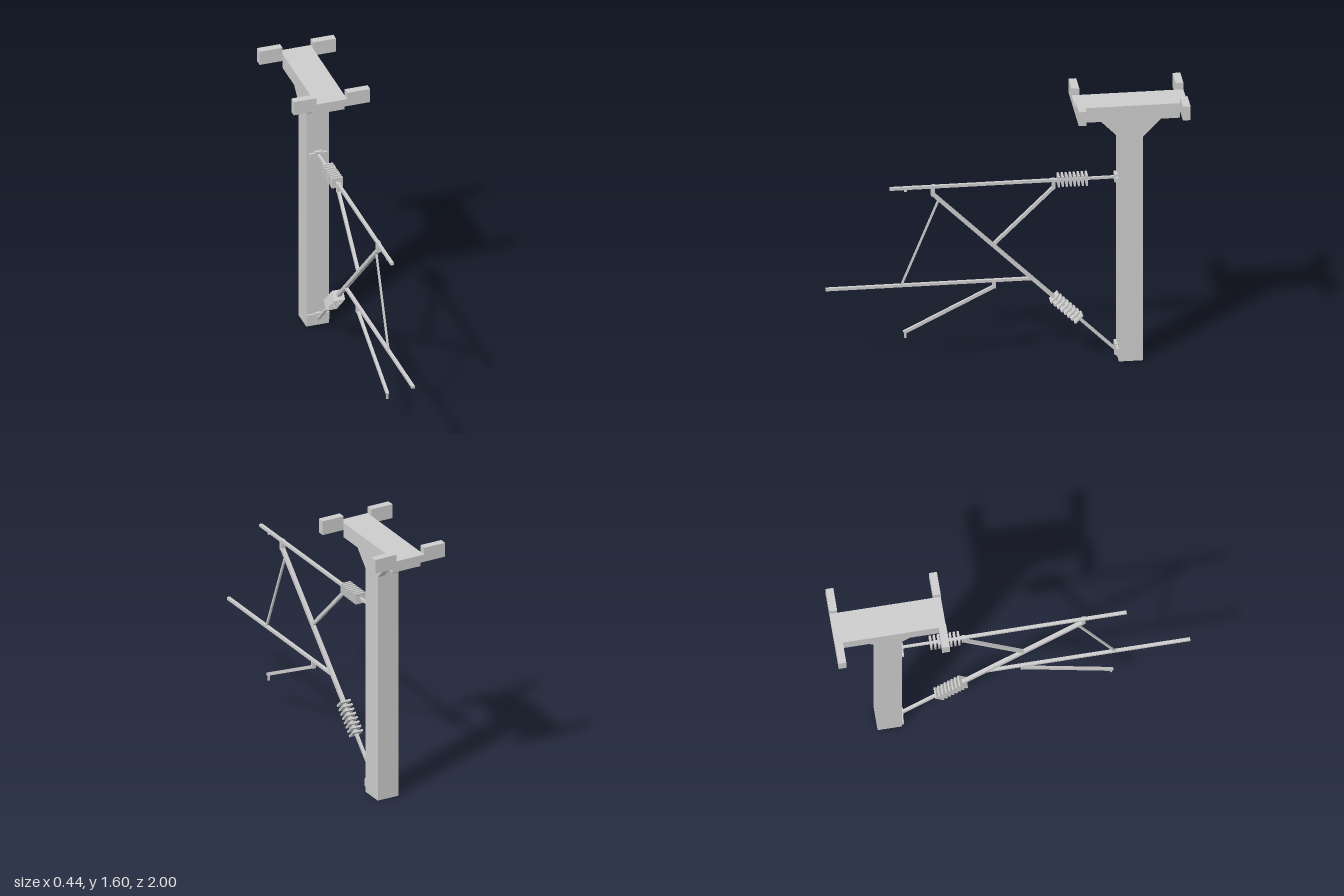
import * as THREE from 'three';

const material = new THREE.MeshStandardMaterial({ color: 0xcccccc, flatShading: true });

export function createModel() {
  const model = new THREE.Group();
  model.name = 'catenaryMast';

  // Box given by its [min, max] range on each axis
  function box(name, [x0, x1], [y0, y1], [z0, z1]) {
    const mesh = new THREE.Mesh(new THREE.BoxGeometry(x1 - x0, y1 - y0, z1 - z0), material);
    mesh.position.set((x0 + x1) / 2, (y0 + y1) / 2, (z0 + z1) / 2);
    mesh.name = name;
    model.add(mesh);
    return mesh;
  }

  // Square bar in the x = 0 plane between two [z, y] points
  function bar(name, [z0, y0], [z1, y1], width, height = width) {
    const dz = z1 - z0, dy = y1 - y0;
    const mesh = new THREE.Mesh(new THREE.BoxGeometry(width, height, Math.hypot(dz, dy)), material);
    mesh.position.set(0, (y0 + y1) / 2, (z0 + z1) / 2);
    mesh.rotation.x = -Math.atan2(dy, dz);
    mesh.name = name;
    model.add(mesh);
    return mesh;
  }

  // Row of square insulator plates from one [z, y] point to another
  function insulator(name, [z0, y0], [z1, y1], count = 8) {
    const group = new THREE.Group();
    group.name = name;
    const angle = -Math.atan2(y1 - y0, z1 - z0);
    const plate = new THREE.BoxGeometry(0.064, 0.062, 0.011);
    for (let i = 0; i < count; i++) {
      const t = i / (count - 1);
      const mesh = new THREE.Mesh(plate, material);
      mesh.position.set(0, y0 + (y1 - y0) * t, z0 + (z1 - z0) * t);
      mesh.rotation.x = angle;
      mesh.name = 'insulatorPlate';
      group.add(mesh);
    }
    model.add(group);
  }

  // Profile drawn in (z, y), extruded across x
  function sidePanel(name, points, x0, x1) {
    const shape = new THREE.Shape(points.map(([z, y]) => new THREE.Vector2(-z, y)));
    const geometry = new THREE.ExtrudeGeometry(shape, { depth: x1 - x0, bevelEnabled: false });
    geometry.rotateY(Math.PI / 2).translate(x0, 0, 0);
    const mesh = new THREE.Mesh(geometry, material);
    mesh.name = name;
    model.add(mesh);
  }

  // Mast and head beam
  box('mast', [-0.066, 0.066], [0, 1.475], [-0.755, -0.62]);
  box('headBeam', [-0.089, 0.089], [1.472, 1.56], [-0.955, -0.42]);

  // Paired gussets under the beam, front and back of the mast
  for (const x0 of [-0.066, 0.022]) {
    sidePanel('frontGusset', [[-0.62, 1.36], [-0.62, 1.475], [-0.508, 1.475]], x0, x0 + 0.044);
    sidePanel('backGusset', [[-0.755, 1.36], [-0.755, 1.475], [-0.867, 1.475]], x0, x0 + 0.044);
  }

  // U-shaped crossarms at both beam ends
  const u = [[-0.222, 1.516], [0.222, 1.516], [0.222, 1.6], [0.089, 1.6],
    [0.089, 1.56], [-0.089, 1.56], [-0.089, 1.6], [-0.222, 1.6]];
  const crossarm = new THREE.ExtrudeGeometry(
    new THREE.Shape(u.map(([x, y]) => new THREE.Vector2(x, y))),
    { depth: 0.043, bevelEnabled: false });
  for (const [name, z] of [['frontCrossarm', -0.42], ['backCrossarm', -0.998]]) {
    const mesh = new THREE.Mesh(crossarm, material);
    mesh.position.z = z;
    mesh.name = name;
    model.add(mesh);
  }

  // Mast brackets
  box('upperBracketWings', [-0.053, 0.053], [1.08, 1.105], [-0.625, -0.605]);
  box('upperBracket', [-0.022, 0.022], [1.067, 1.115], [-0.625, -0.602]);
  box('lowerBracketBand', [-0.066, 0.066], [0.03, 0.076], [-0.625, -0.608]);
  box('lowerBracket', [-0.016, 0.016], [0.018, 0.084], [-0.625, -0.602]);

  // Upper tube with its insulator and wire clamp
  bar('upperTube', [0.645, 1.093], [-0.29, 1.093], 0.018, 0.016);
  bar('upperTubeEnd', [-0.28, 1.093], [-0.62, 1.093], 0.014);
  insulator('upperInsulator', [-0.292, 1.093], [-0.448, 1.093]);
  bar('wireClamp', [0.565, 1.075], [0.548, 1.075], 0.008);
  bar('wireClampStem', [0.552, 1.075], [0.552, 1.09], 0.008);

  // Diagonal tube with its insulator
  bar('diagonalTube', [0.408, 1.052], [-0.27, 0.383], 0.022, 0.02);
  bar('diagonalTubeEnd', [-0.26, 0.393], [-0.615, 0.042], 0.016);
  insulator('lowerInsulator', [-0.27, 0.382], [-0.402, 0.252]);

  // Hangers and braces between the tubes
  bar('frontHanger', [0.405, 1.04], [0.405, 1.102], 0.024, 0.02);
  bar('rearHanger', [-0.265, 1.045], [-0.265, 1.102], 0.024, 0.02);
  bar('rearBrace', [-0.268, 1.053], [0.07, 0.722], 0.018);
  bar('frontBrace', [0.372, 1.014], [0.578, 0.508], 0.011);

  // Lower tube and steady arm
  bar('lowerTube', [1.0, 0.504], [-0.145, 0.504], 0.018, 0.016);
  bar('steadyArmHanger', [0.064, 0.46], [0.064, 0.506], 0.022, 0.02);
  bar('steadyArm', [0.062, 0.469], [0.567, 0.217], 0.016, 0.018);
  bar('contactClamp', [0.557, 0.184], [0.557, 0.22], 0.011);

  return model;
}
